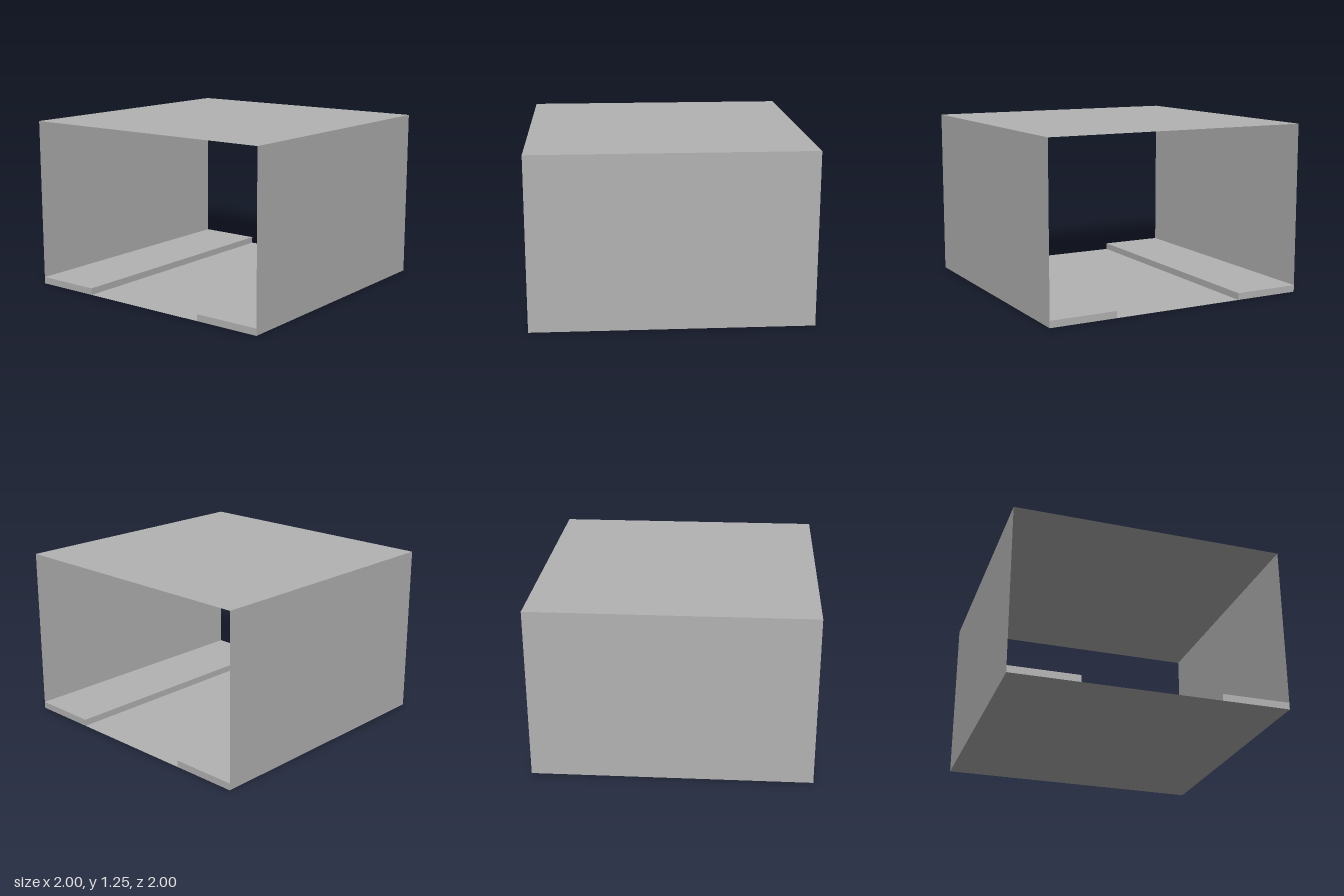
import * as THREE from 'three';

export function createModel() {
  const W = 2, H = 1.25, D = 2;
  const grey = new THREE.MeshStandardMaterial({ color: 0xb3b3b3, side: THREE.DoubleSide });
  grey.name = 'grey';
  const model = new THREE.Group();
  model.name = 'openTunnel';

  function add(name, geometry, x, y, z, rx = 0) {
    const mesh = new THREE.Mesh(geometry, grey);
    mesh.name = name;
    mesh.position.set(x, y, z);
    mesh.rotation.x = rx;
    model.add(mesh);
  }

  // Thin sleeve, open at both x ends
  add('floor', new THREE.PlaneGeometry(W, D), 0, 0, 0, Math.PI / 2);
  add('roof', new THREE.PlaneGeometry(W, D), 0, H, 0, -Math.PI / 2);
  add('frontWall', new THREE.PlaneGeometry(W, H), 0, H / 2, D / 2);
  add('backWall', new THREE.PlaneGeometry(W, H), 0, H / 2, -D / 2, Math.PI);

  // Raised ledges along the front and back walls
  for (const [name, s] of [['frontLedge', 1], ['backLedge', -1]]) {
    add(name, new THREE.BoxGeometry(W, 0.05, 0.5), 0, 0.025, s * 0.75);
  }
  return model;
}
